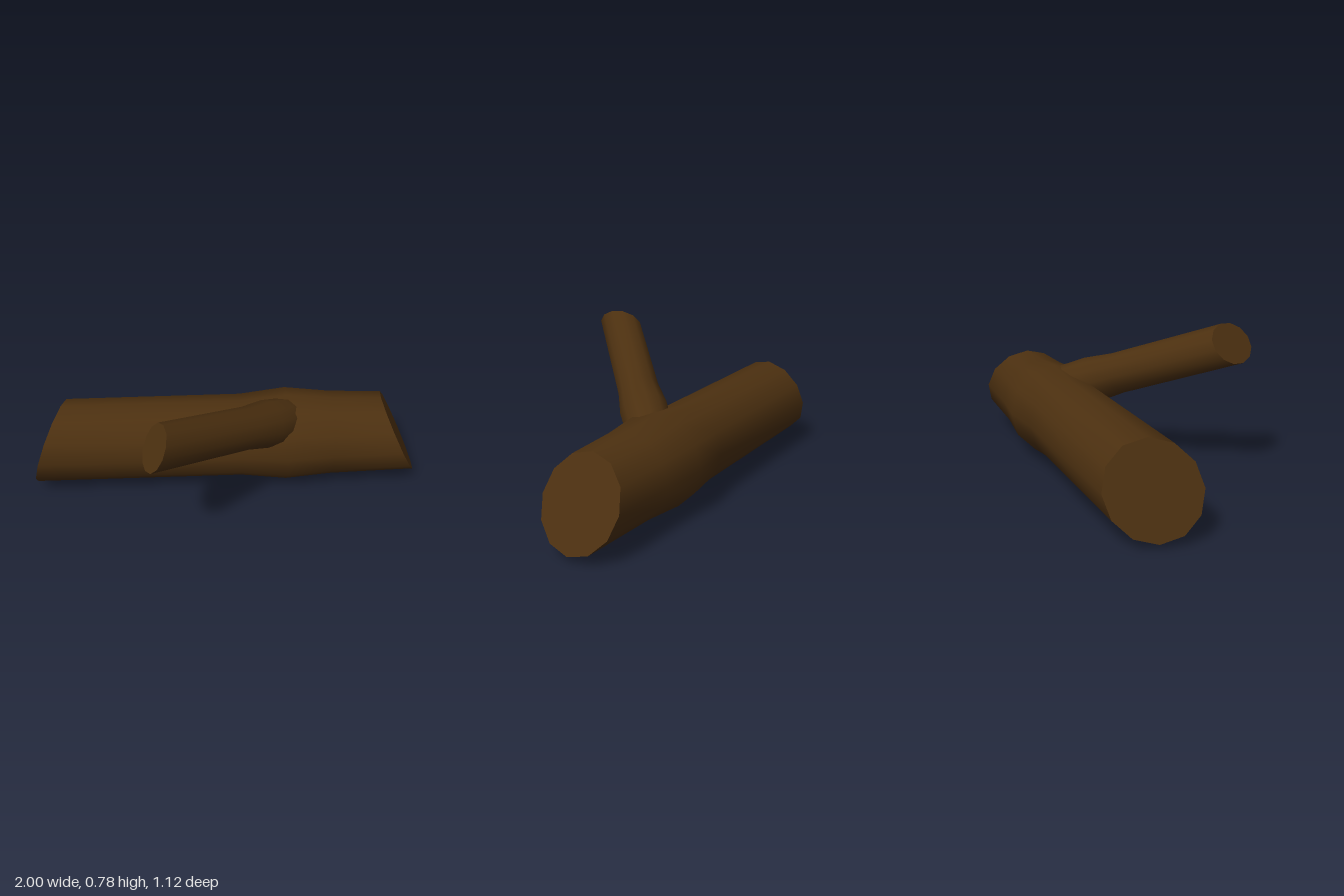
import * as THREE from 'three';

const SIDES = 12;

// Tapering limb: rings of given radius along a path; each end ring may be sheared onto a saw-cut plane.
function limb(stations, startCut, endCut) {
  const pts = stations.map(s => new THREE.Vector3(...s.slice(0, 3)));
  const last = pts.length - 1;
  const dir = pts[last].clone().sub(pts[0]).normalize();
  const side = new THREE.Vector3().crossVectors(dir, new THREE.Vector3(0, 1, 0)).normalize();
  const up = new THREE.Vector3().crossVectors(side, dir);
  const rings = pts.map((c, i) => {
    const cut = i === 0 ? startCut : i === last ? endCut : null;
    const n = cut ? new THREE.Vector3(...cut) : dir;
    return Array.from({ length: SIDES }, (_, k) => {
      const a = (k / SIDES) * Math.PI * 2;
      const off = side.clone().multiplyScalar(Math.cos(a)).addScaledVector(up, Math.sin(a));
      off.multiplyScalar(stations[i][3]);
      off.addScaledVector(dir, -off.dot(n) / dir.dot(n));
      return off.add(c);
    });
  });
  const index = [];
  for (let i = 0; i < last; i++) {
    for (let k = 0; k < SIDES; k++) {
      const k2 = (k + 1) % SIDES;
      const a = i * SIDES + k, b = i * SIDES + k2;
      index.push(a, a + SIDES, b, b, a + SIDES, b + SIDES);
    }
  }
  const bark = new THREE.BufferGeometry().setFromPoints(rings.flat());
  // Wind the wall so that it faces away from the axis
  const [p, q, r] = [rings[0][0], rings[1][0], rings[0][1]];
  const face = q.clone().sub(p).cross(r.clone().sub(p));
  if (face.dot(p.clone().sub(pts[0])) < 0) {
    for (let i = 0; i < index.length; i += 3) [index[i + 1], index[i + 2]] = [index[i + 2], index[i + 1]];
  }
  bark.setIndex(index);
  bark.computeVertexNormals();
  return { bark, start: cap(rings[0], pts[0], dir.clone().negate()), end: cap(rings[last], pts[last], dir) };
}

// Flat sawn face closing a ring
function cap(ring, centre, outward) {
  const n = ring[0].clone().sub(centre).cross(ring[1].clone().sub(centre));
  const loop = n.dot(outward) > 0 ? ring : [...ring].reverse();
  const geo = new THREE.BufferGeometry().setFromPoints([centre, ...loop]);
  const index = [];
  for (let k = 0; k < SIDES; k++) index.push(0, k + 1, ((k + 1) % SIDES) + 1);
  geo.setIndex(index);
  geo.computeVertexNormals();
  return geo;
}

export function createModel() {
  const model = new THREE.Group();
  model.name = 'log';
  const wood = new THREE.MeshStandardMaterial({ color: 0x4c3010 });
  wood.name = 'brown wood';
  const add = (name, geo) => {
    const mesh = new THREE.Mesh(geo, wood);
    mesh.name = name;
    model.add(mesh);
  };

  // Trunk: swollen where the branch grows out, both ends cut at a slant
  const trunk = limb([
    [-0.88, 0.245, -0.37, 0.215],
    [0.08, 0.247, -0.125, 0.216],
    [0.31, 0.249, -0.066, 0.243],
    [0.54, 0.248, -0.004, 0.22],
    [0.885, 0.25, 0.086, 0.21],
  ], [1, -0.34, 0.52], [1, 0.5, 0.27]);
  add('trunkBark', trunk.bark);
  add('trunkLeftCut', trunk.end);
  add('trunkRightCut', trunk.start);

  // Branch: from its sawn tip down into the trunk, flared at the root
  const axis = (x, r) => [x, 0.69 - 0.41 * (x + 0.495), 0.432 - 0.58 * (x + 0.495), r];
  const branch = limb([
    axis(-0.495, 0.107),
    axis(0.02, 0.107),
    axis(0.15, 0.122),
    axis(0.28, 0.115),
    axis(0.38, 0.1),
  ], [1, -0.58, 0], null);
  add('branchBark', branch.bark);
  add('branchCut', branch.start);

  return model;
}
